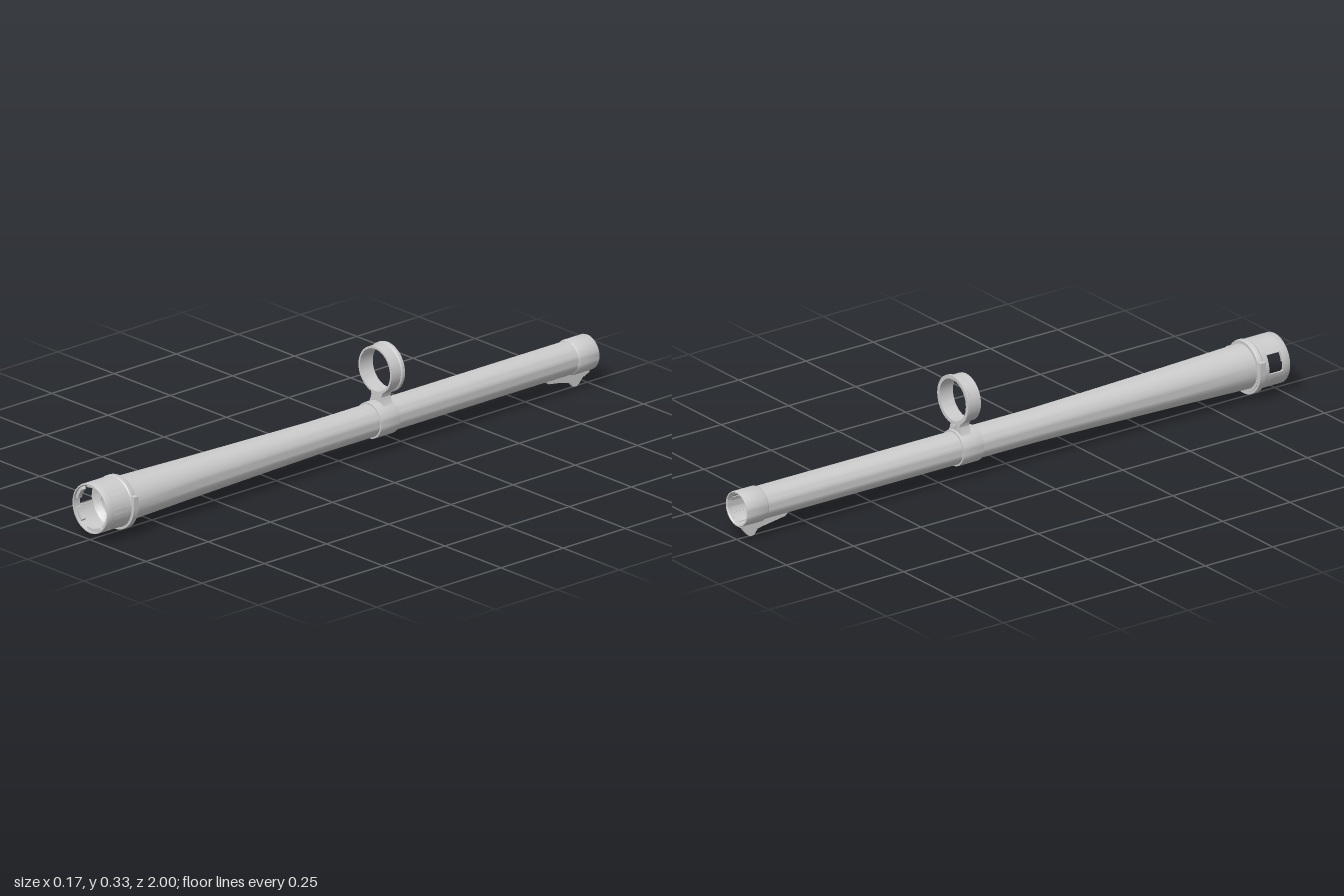
import * as THREE from 'three';
import { toCreasedNormals } from 'three/addons/utils/BufferGeometryUtils.js';

const AXIS_Y = 0.098; // height of the tube axis
const rad = THREE.MathUtils.degToRad;

export function createModel() {
  const grey = new THREE.MeshStandardMaterial({ color: 0xcccccc });
  grey.name = 'lightGreyPlastic';
  const model = new THREE.Group();
  model.name = 'extensionWand';

  function add(name, geometry, y = 0) {
    const mesh = new THREE.Mesh(toCreasedNormals(geometry, 0.5), grey);
    mesh.name = name;
    mesh.position.y = y;
    model.add(mesh);
  }

  // Closed profile of [radius, z] turned around the z axis
  function turned(points) {
    const profile = [...points, points[0]].map(([r, z]) => new THREE.Vector2(r, z));
    return new THREE.LatheGeometry(profile, 40).rotateX(Math.PI / 2);
  }

  // Shape in x, y pushed from z0 to z1
  function slab(shape, z0, z1, curveSegments = 40) {
    return new THREE.ExtrudeGeometry(shape, { depth: z1 - z0, bevelEnabled: false, curveSegments }).translate(0, 0, z0);
  }

  // Part of a ring between two angles, pushed along z
  function arcBlock(r0, r1, a0, a1, z0, z1) {
    const s = new THREE.Shape();
    s.absarc(0, 0, r1, rad(a0), rad(a1), false);
    s.absarc(0, 0, r0, rad(a1), rad(a0), true);
    s.closePath();
    return slab(s, z0, z1, Math.max(4, Math.round((a1 - a0) / 9)));
  }

  // Side profile of [z, y] pushed across x
  function sidePlate(points, width) {
    const s = new THREE.Shape(points.map(([z, y]) => new THREE.Vector2(z, y)));
    return slab(s, -width / 2, width / 2).rotateY(-Math.PI / 2);
  }

  // Hollow tube: straight at the back, flaring towards the front
  add('tube', turned([
    [0.051, -0.99], [0.051, 0.1], [0.055, 0.3], [0.062, 0.6], [0.0705, 0.9],
    [0.066, 0.9], [0.058, 0.6], [0.051, 0.3], [0.048, 0.1], [0.048, -0.99],
  ]), AXIS_Y);

  // Back collar with small inner ribs
  add('backCollar', turned([
    [0.051, -1], [0.054, -1], [0.055, -0.997], [0.055, -0.925], [0.052, -0.918], [0.049, -0.918], [0.049, -0.997],
  ]), AXIS_Y);
  for (let i = 0; i < 8; i++) {
    add('backRib', arcBlock(0.0463, 0.05, i * 45 + 9, i * 45 + 27, -0.985, -0.94), AXIS_Y);
  }

  // Front socket: sloped inner shoulder, windowed band and rim
  add('socketBase', turned([
    [0.069, 0.882], [0.079, 0.882], [0.081, 0.887], [0.081, 0.9], [0.0785, 0.904], [0.0785, 0.922],
    [0.0735, 0.922], [0.068, 0.915], [0.056, 0.905], [0.056, 0.9], [0.066, 0.895],
  ]), AXIS_Y);
  add('socketWindowBand', arcBlock(0.0735, 0.0785, -171, 144, 0.922, 0.973), AXIS_Y);
  add('socketRim', turned([
    [0.0735, 0.973], [0.0785, 0.973], [0.0785, 0.998], [0.0775, 1], [0.0735, 1],
  ]), AXIS_Y);
  for (let i = 0; i < 6; i++) {
    add('socketLug', arcBlock(0.064, 0.075, i * 60 + 12, i * 60 + 48, 0.976, 0.992), AXIS_Y);
  }

  // Cradle lip: lower half ring with square upright ends
  const cradle = new THREE.Shape();
  cradle.moveTo(0.087, 0.035);
  cradle.lineTo(0.087, 0);
  cradle.absarc(0, 0, 0.087, 0, -Math.PI, true);
  cradle.lineTo(-0.087, 0.035);
  cradle.lineTo(-0.07, 0.035);
  cradle.lineTo(-0.076, 0);
  cradle.absarc(0, 0, 0.076, -Math.PI, 0, false);
  cradle.lineTo(0.07, 0.035);
  add('cradleLip', slab(cradle, 0.883, 0.902), AXIS_Y);

  // Clamp around the tube
  add('clamp', turned([
    [0.05, -0.197], [0.056, -0.197], [0.0565, -0.194], [0.0565, -0.124], [0.056, -0.121], [0.05, -0.121],
  ]), AXIS_Y);

  // Neck joining clamp and hose ring, hollowed to follow the clamp
  const neck = new THREE.Shape();
  neck.moveTo(-0.042, 0.13);
  neck.quadraticCurveTo(-0.026, 0.152, -0.023, 0.17);
  neck.quadraticCurveTo(-0.023, 0.182, -0.04, 0.1955);
  neck.absarc(0, 0.253, 0.07, rad(-125), rad(-55), false);
  neck.quadraticCurveTo(0.023, 0.182, 0.023, 0.17);
  neck.quadraticCurveTo(0.026, 0.152, 0.042, 0.13);
  neck.absarc(0, AXIS_Y, 0.053, rad(37.6), rad(142.4), false);
  add('ringNeck', slab(neck, -0.188, -0.152));
  add('neckBoss', new THREE.BoxGeometry(0.012, 0.014, 0.008).translate(0, 0.164, -0.19));

  // Hose ring with a wider lip at the back
  add('hoseRing', turned([
    [0.066, -0.197], [0.0775, -0.197], [0.0775, -0.187], [0.0735, -0.184], [0.0735, -0.146], [0.067, -0.146],
  ]), 0.253);

  // Release latch under the back end: wide tongue with a narrow fin
  add('latchTongue', sidePlate([
    [-0.995, 0.05], [-0.995, 0.04], [-0.975, 0.03], [-0.91, 0.028], [-0.83, 0.04], [-0.82, 0.05],
  ], 0.032));
  add('latchFin', sidePlate([
    [-0.985, 0.04], [-0.978, 0.024], [-0.962, 0.006], [-0.952, 0], [-0.938, 0.002], [-0.925, 0.018], [-0.89, 0.026], [-0.88, 0.04],
  ], 0.01));

  return model;
}
